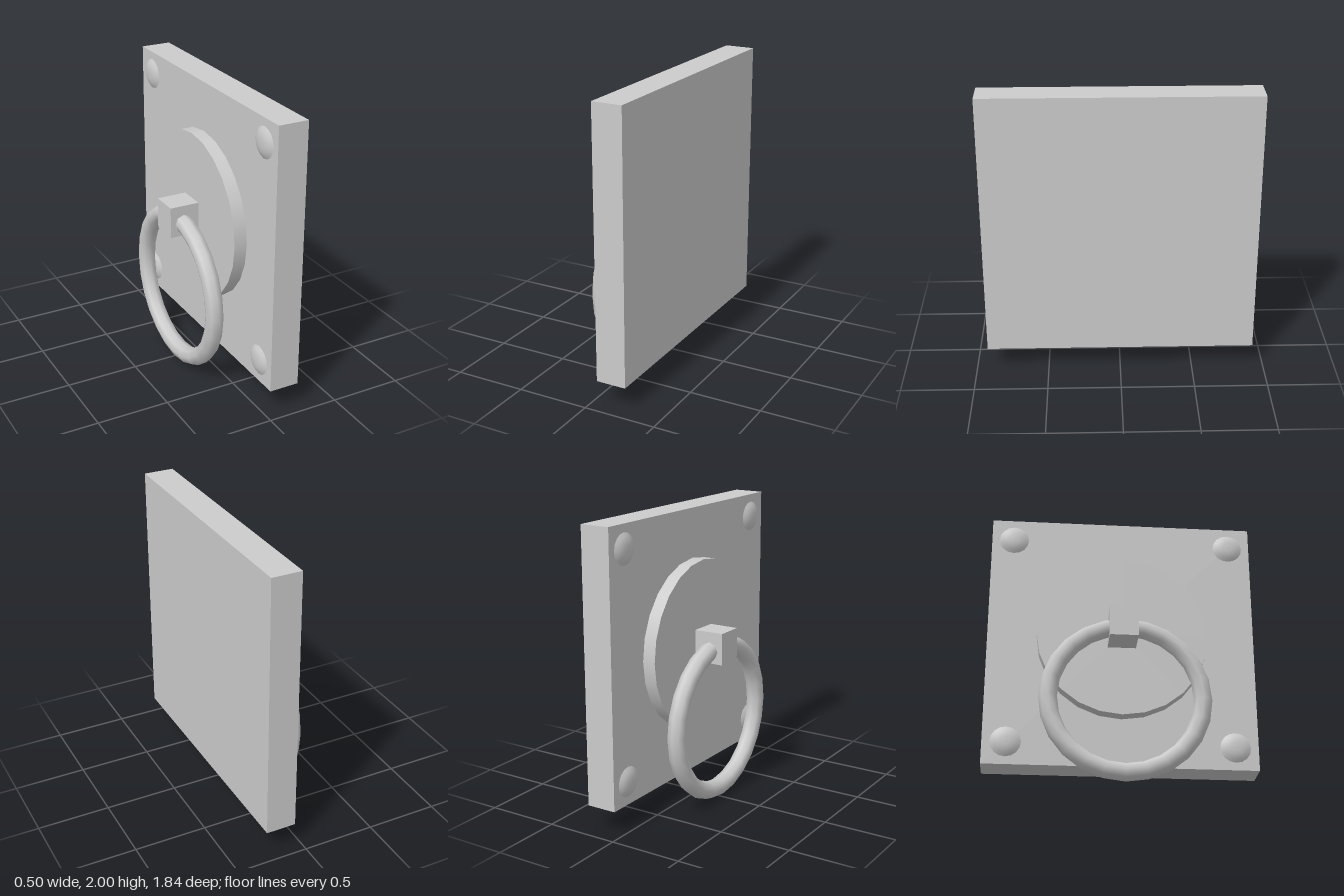
import * as THREE from 'three';

const material = new THREE.MeshStandardMaterial({ color: 0xcccccc });

export function createModel() {
  const model = new THREE.Group();
  const add = (name, geometry, x, y, z) => {
    const mesh = new THREE.Mesh(geometry, material);
    mesh.name = name;
    mesh.position.set(x, y, z);
    model.add(mesh);
    return mesh;
  };

  // Square mounting plate
  const midY = 1.082;
  add('backPlate', new THREE.BoxGeometry(0.208, 1.836, 1.84), 0.146, midY, 0);

  // Round boss, its axis pointing out of the plate towards -x
  const disc = new THREE.CylinderGeometry(0.582, 0.582, 0.1, 24).rotateZ(Math.PI / 2);
  add('roundBoss', disc, 0.002, midY, 0);

  // Block that holds the ring
  add('ringHolder', new THREE.BoxGeometry(0.21, 0.216, 0.192), -0.15, 1.093, -0.004);

  // Hanging ring
  const ring = new THREE.TorusGeometry(0.511, 0.062, 8, 24).rotateY(Math.PI / 2);
  add('pullRing', ring, -0.158, 0.573, 0.012);

  // Shallow domed rivets in the four corners
  const profile = [[0.104, 0], [0.081, 0.014], [0.055, 0.024], [0.028, 0.027], [0, 0.028]];
  const rivet = new THREE.LatheGeometry(profile.map(([r, h]) => new THREE.Vector2(r, h)), 16)
    .rotateZ(Math.PI / 2);
  for (const sy of [-1, 1]) {
    for (const sz of [-1, 1]) {
      add('cornerRivet', rivet, 0.042, midY + sy * 0.761, sz * 0.764);
    }
  }

  return model;
}
